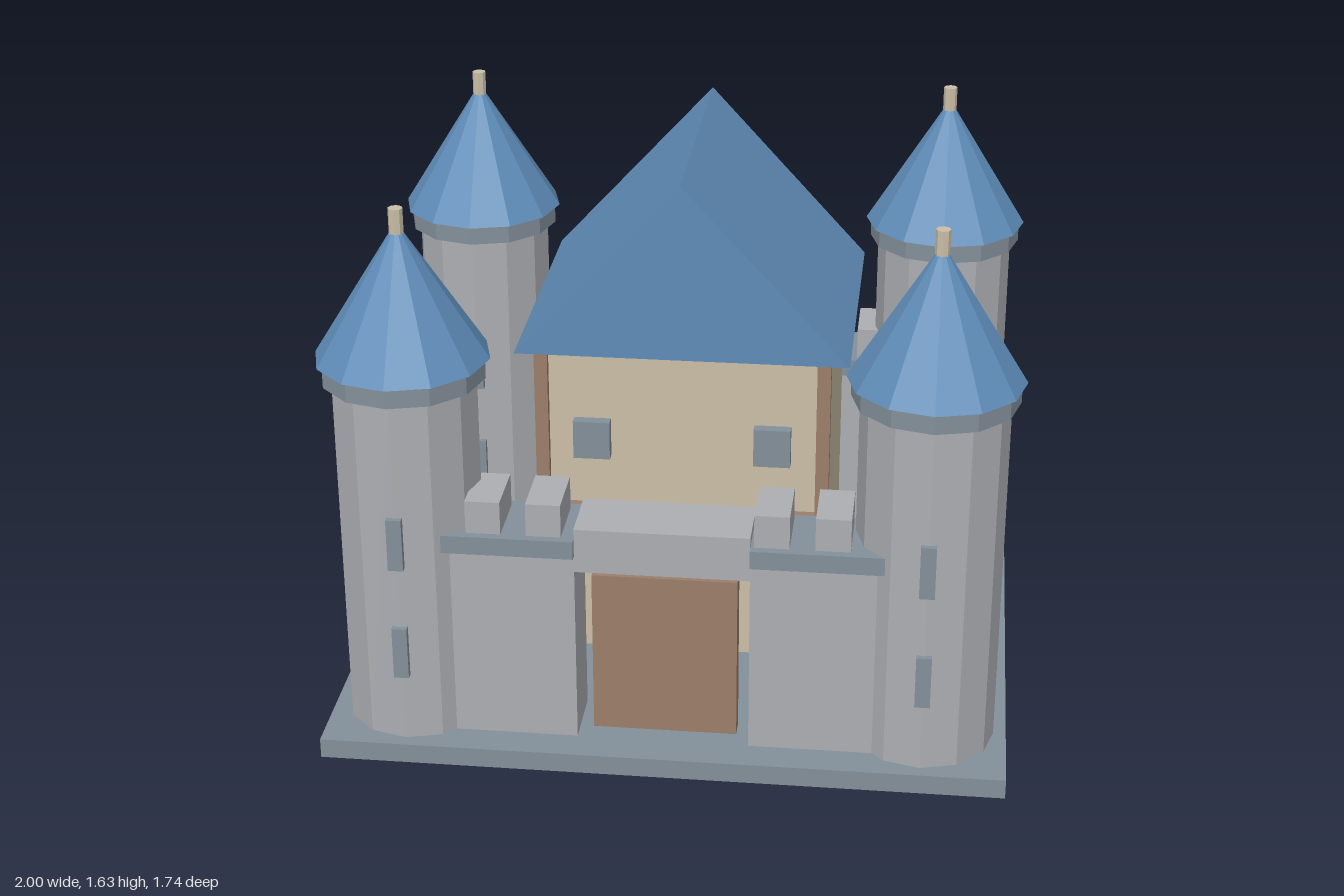
import * as THREE from 'three';

const mat = (name, color) => {
  const m = new THREE.MeshStandardMaterial({ color, flatShading: true });
  m.name = name;
  return m;
};

export function createModel() {
  const stone = mat('light stone', 0xacaeb3);
  const trim = mat('dark stone', 0x84909a);
  const roofBlue = mat('roof blue', 0x5f8cb8);
  const plaster = mat('plaster', 0xcabfa7);
  const timber = mat('timber', 0x9b7e6a);

  const castle = new THREE.Group();
  castle.name = 'castle';

  const add = (parent, name, geometry, material, x, y, z) => {
    const mesh = new THREE.Mesh(geometry, material);
    mesh.name = name;
    mesh.position.set(x, y, z);
    parent.add(mesh);
    return mesh;
  };
  // Box given by its limits on each axis
  const box = (parent, name, material, [x0, x1], [y0, y1], [z0, z1]) =>
    add(parent, name, new THREE.BoxGeometry(x1 - x0, y1 - y0, z1 - z0), material,
      (x0 + x1) / 2, (y0 + y1) / 2, (z0 + z1) / 2);
  // Twelve-sided upright cylinder or cone
  const round = (parent, name, material, rTop, rBottom, y0, y1, sides = 12) =>
    add(parent, name, new THREE.CylinderGeometry(rTop, rBottom, y1 - y0, sides), material,
      0, (y0 + y1) / 2, 0);

  // Ground slab
  box(castle, 'baseSlab', trim, [-0.995, 0.995], [0, 0.06], [-0.87, 0.87]);

  // Four corner towers, all with slits facing the front
  for (const x of [-0.748, 0.748]) {
    for (const z of [-0.621, 0.621]) {
      const tower = new THREE.Group();
      tower.name = 'tower';
      tower.position.set(x, 0, z);
      round(tower, 'towerShaft', stone, 0.21, 0.21, 0.06, 1.13);
      round(tower, 'towerCollar', trim, 0.235, 0.235, 1.13, 1.19);
      add(tower, 'towerRoof', new THREE.ConeGeometry(0.25, 0.4, 12), roofBlue, 0, 1.39, 0);
      round(tower, 'finial', plaster, 0.021, 0.021, 1.53, 1.63, 8);
      for (const y of [0.27, 0.62])
        box(tower, 'arrowSlit', trim, [-0.022, 0.022], [y, y + 0.16], [0.2, 0.224]);
      castle.add(tower);
    }
  }

  // Curtain walls: body, ledge and merlons
  const wall = (name, z, x0, x1, ledge, merlons) => {
    const group = new THREE.Group();
    group.name = name;
    box(group, 'wallBody', stone, [x0, x1], [0.06, 0.655], [z - 0.098, z + 0.098]);
    box(group, 'wallLedge', trim, ledge, [0.655, 0.71], [z - 0.118, z + 0.118]);
    for (const x of merlons)
      box(group, 'merlon', stone, [x - 0.05, x + 0.05], [0.71, 0.81], [z - 0.092, z + 0.092]);
    castle.add(group);
  };
  wall('frontWallRight', 0.67, -0.68, -0.25, [-0.68, -0.25], [-0.51, -0.337]);
  wall('frontWallLeft', 0.67, 0.25, 0.68, [0.25, 0.68], [0.31, 0.482]);
  wall('backWall', -0.674, -0.68, 0.68, [-0.68, 0.68],
    [-0.51, -0.337, -0.162, 0.012, 0.185, 0.358, 0.532]);

  // Gateway
  box(castle, 'gateLintel', stone, [-0.25, 0.25], [0.605, 0.74], [0.572, 0.768]);
  box(castle, 'gate', timber, [-0.21, 0.21], [0.06, 0.565], [0.65, 0.71]);

  // Keep with timber frame, door and windows
  const keep = new THREE.Group();
  keep.name = 'keep';
  box(keep, 'keepBody', plaster, [-0.435, 0.435], [0.06, 1.06], [-0.59, 0.24]);
  for (const s of [-1, 1]) {
    box(keep, 'cornerPost', timber, [s * 0.42 - 0.02, s * 0.42 + 0.02], [0.06, 1.06], [0.225, 0.263]);
    box(keep, 'keepWindow', trim, [s * 0.27 - 0.055, s * 0.27 + 0.055], [0.72, 0.84], [0.235, 0.274]);
  }
  box(keep, 'crossBeam', timber, [-0.44, 0.44], [0.522, 0.56], [0.228, 0.265]);
  box(keep, 'keepDoor', timber, [-0.1, 0.1], [0.06, 0.38], [0.235, 0.278]);

  // Gabled roof
  const gable = new THREE.Shape([
    new THREE.Vector2(-0.495, 1.06),
    new THREE.Vector2(0.495, 1.06),
    new THREE.Vector2(0, 1.6),
  ]);
  add(keep, 'keepRoof', new THREE.ExtrudeGeometry(gable, { depth: 0.92, bevelEnabled: false }),
    roofBlue, 0, 0, -0.633);
  castle.add(keep);

  return castle;
}
